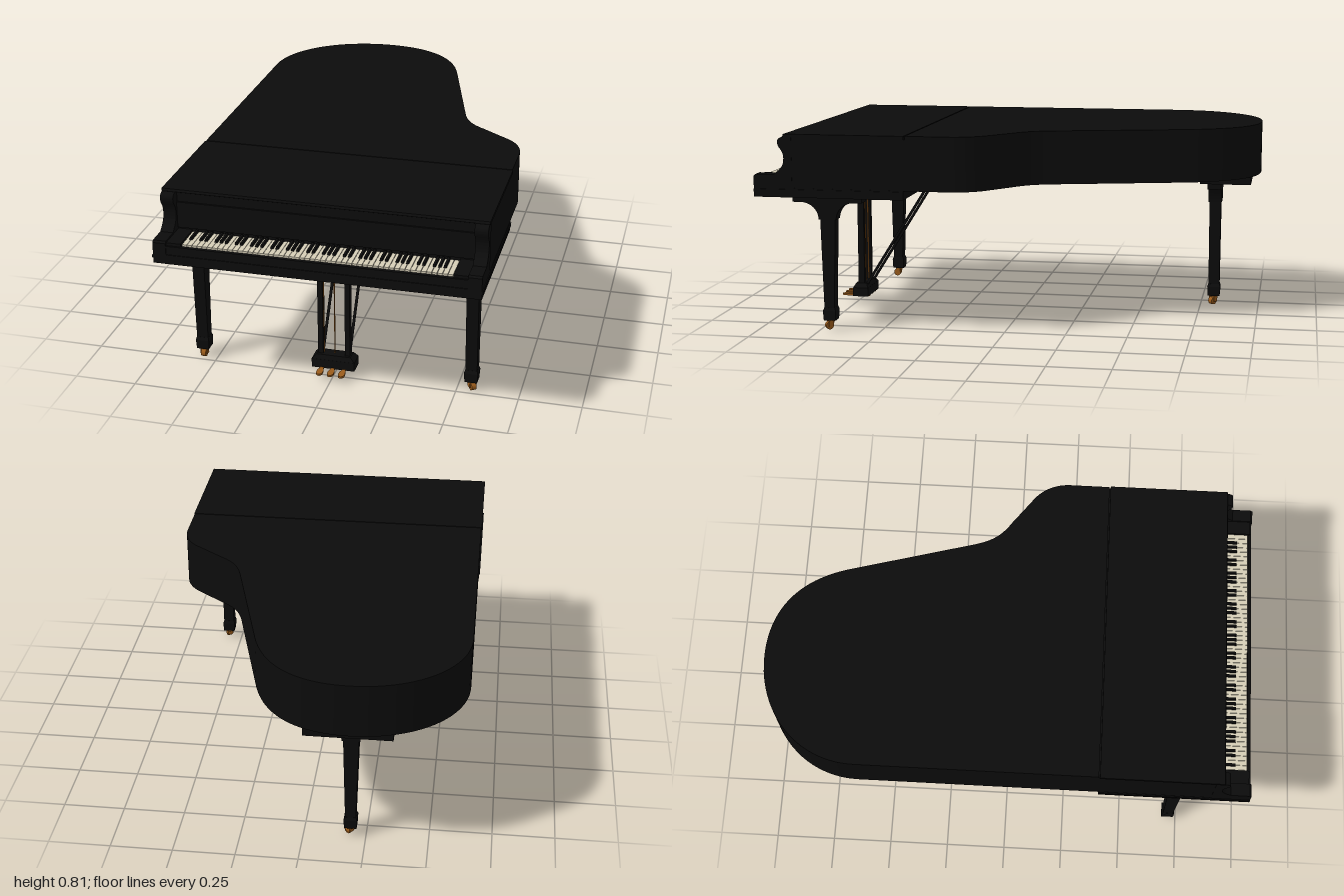
import * as THREE from 'three';
import { mergeGeometries } from 'three/addons/utils/BufferGeometryUtils.js';

const paint = (color) => new THREE.MeshStandardMaterial({ color });
const black = paint(0x0c0c0c), ivory = paint(0xd6cfb8), brass = paint(0x9c5d1c);

function add(parent, name, geometry, material = black) {
  const mesh = new THREE.Mesh(geometry, material);
  mesh.name = name;
  parent.add(mesh);
  return mesh;
}

// Box given by its limits on each axis
function block(x0, x1, y0, y1, z0, z1) {
  return new THREE.BoxGeometry(x1 - x0, y1 - y0, z1 - z0)
    .translate((x0 + x1) / 2, (y0 + y1) / 2, (z0 + z1) / 2);
}

// Four-sided tapered prism centred on the y axis
function taper(y0, w0, d0, y1, w1, d1) {
  const g = new THREE.BoxGeometry(1, y1 - y0, 1).translate(0, (y0 + y1) / 2, 0);
  const p = g.attributes.position;
  for (let i = 0; i < p.count; i++) {
    const top = p.getY(i) > (y0 + y1) / 2;
    p.setX(i, p.getX(i) * 2 * (top ? w1 : w0));
    p.setZ(i, p.getZ(i) * 2 * (top ? d1 : d0));
  }
  g.computeVertexNormals();
  return g;
}

function rod(a, b, r, sides = 10) {
  const from = new THREE.Vector3(...a), to = new THREE.Vector3(...b);
  return new THREE.TubeGeometry(new THREE.LineCurve3(from, to), 1, r, sides);
}

// Plan outline of the case, drawn with shape y = -z, closed by a straight front edge
function plan(front) {
  const s = new THREE.Shape();
  s.moveTo(0.635, -front);
  s.lineTo(0.635, -0.21);
  s.bezierCurveTo(0.635, -0.15, 0.61, -0.09, 0.55, -0.05);
  s.lineTo(0.45, 0.026);
  s.bezierCurveTo(0.4, 0.06, 0.365, 0.09, 0.34, 0.18);
  s.lineTo(0.2, 0.69);
  s.bezierCurveTo(0.14, 0.9, 0, 1, -0.196, 1);
  s.bezierCurveTo(-0.44, 1, -0.635, 0.83, -0.635, 0.6);
  s.lineTo(-0.635, -front);
  return s;
}

function slab(shape, y0, y1) {
  return new THREE.ExtrudeGeometry(shape, { depth: y1 - y0, bevelEnabled: false, curveSegments: 20 })
    .rotateX(-Math.PI / 2).translate(0, y0, 0);
}

// Scrolled arm at each end of the keyboard, profile in (z, y)
function cheek() {
  const s = new THREE.Shape();
  s.moveTo(0.84, 0.59);
  s.lineTo(1, 0.59);
  s.lineTo(1, 0.638);
  s.lineTo(0.992, 0.645);
  s.lineTo(0.915, 0.645);
  s.bezierCurveTo(0.9, 0.66, 0.873, 0.67, 0.873, 0.71);
  s.bezierCurveTo(0.873, 0.75, 0.899, 0.75, 0.898, 0.778);
  s.bezierCurveTo(0.897, 0.79, 0.885, 0.797, 0.875, 0.797);
  s.lineTo(0.84, 0.797);
  return new THREE.ExtrudeGeometry(s, { depth: 0.052, bevelEnabled: false, curveSegments: 8 })
    .rotateY(-Math.PI / 2).translate(0.026, 0, 0);
}

// Leg with a wide bracket along its local x axis, and a caster below
function leg(name, x, z, turn, casterTurn) {
  const g = new THREE.Group();
  g.name = name;
  const s = new THREE.Shape();
  s.moveTo(-0.144, 0.557);
  s.lineTo(-0.144, 0.528);
  s.lineTo(-0.108, 0.528);
  s.bezierCurveTo(-0.07, 0.527, -0.038, 0.5, -0.036, 0.458);
  s.lineTo(0.036, 0.458);
  s.bezierCurveTo(0.038, 0.5, 0.07, 0.527, 0.108, 0.528);
  s.lineTo(0.144, 0.528);
  s.lineTo(0.144, 0.557);
  add(g, 'legBracket', new THREE.ExtrudeGeometry(s, { depth: 0.057, bevelEnabled: false, curveSegments: 8 })
    .translate(0, 0, -0.0285));
  add(g, 'legShaft', taper(0.08, 0.021, 0.0235, 0.46, 0.031, 0.0245));
  add(g, 'legFootCollar', taper(0.08, 0.027, 0.028, 0.093, 0.022, 0.024));
  add(g, 'legFoot', taper(0.04, 0.025, 0.025, 0.08, 0.027, 0.028));

  const c = new THREE.Group();
  c.name = 'caster';
  add(c, 'casterSocket', new THREE.CylinderGeometry(0.015, 0.012, 0.014, 16).translate(0, 0.034, 0), brass);
  add(c, 'casterWheel', new THREE.CylinderGeometry(0.016, 0.016, 0.02, 20)
    .rotateZ(Math.PI / 2).translate(0, 0.016, 0.009), brass);
  for (const side of [-1, 1])
    add(c, 'casterFork', block(-0.002, 0.002, 0.012, 0.036, -0.006, 0.014).translate(side * 0.013, 0, 0), brass);
  c.rotation.y = casterTurn - turn;
  g.add(c);
  g.position.set(x, 0, z);
  g.rotation.y = turn;
  return g;
}

function keyboard() {
  const g = new THREE.Group();
  g.name = 'keyboard';
  const whites = [], sharps = [], n = 52, pitch = 1.05 / n;
  for (let i = 0; i < n; i++) {
    const x = -0.525 + (i + 0.5) * pitch;
    whites.push(block(x - pitch * 0.46, x + pitch * 0.46, 0.612, 0.633, 0.86, 0.981));
    if (i < n - 1 && [0, 2, 3, 5, 6].includes(i % 7))
      sharps.push(taper(0.63, 0.0058, 0.0375, 0.643, 0.0045, 0.035).translate(x + pitch / 2, 0, 0.898));
  }
  add(g, 'whiteKeys', mergeGeometries(whites), ivory);
  add(g, 'blackKeys', mergeGeometries(sharps));
  return g;
}

function pedalLyre() {
  const g = new THREE.Group();
  g.name = 'pedalLyre';
  add(g, 'pedalBox', block(-0.088, 0.088, 0.034, 0.072, 0.688, 0.755));
  add(g, 'pedalBoxMoulding', taper(0.072, 0.088, 0.033, 0.09, 0.07, 0.024).translate(0, 0, 0.7215));
  for (const side of [-1, 1]) {
    add(g, 'lyrePost', block(-0.0105, 0.0105, 0.085, 0.557, 0.708, 0.735).translate(side * 0.0555, 0, 0));
    add(g, 'lyreBrace', rod([side * 0.055, 0.075, 0.705], [side * 0.055, 0.565, 0.398], 0.006));
  }
  for (const x of [-0.045, 0, 0.045]) {
    add(g, 'pedalRod', rod([x, 0.085, 0.72], [x, 0.557, 0.72], 0.0025, 8), brass);
    // Pedal with a rounded, widened toe
    const s = new THREE.Shape();
    s.moveTo(-0.007, -0.69);
    s.lineTo(-0.007, -0.76);
    s.bezierCurveTo(-0.018, -0.79, -0.014, -0.813, 0, -0.813);
    s.bezierCurveTo(0.014, -0.813, 0.018, -0.79, 0.007, -0.76);
    s.lineTo(0.007, -0.69);
    add(g, 'pedal', slab(s, 0.03, 0.038).translate(x, 0, 0), brass);
  }
  return g;
}

export function createModel() {
  const model = new THREE.Group();
  model.name = 'grandPiano';

  // Case and two-part lid with a narrow seam
  add(model, 'case', slab(plan(0.855), 0.59, 0.795));
  add(model, 'rearLid', slab(plan(0.374), 0.795, 0.809));
  const flap = new THREE.Shape();
  flap.moveTo(0.868, 0.795);
  flap.lineTo(0.875, 0.799);
  flap.lineTo(0.872, 0.809);
  flap.lineTo(0.379, 0.809);
  flap.lineTo(0.379, 0.795);
  add(model, 'frontLid', new THREE.ExtrudeGeometry(flap, { depth: 1.276, bevelEnabled: false })
    .rotateY(-Math.PI / 2).translate(0.638, 0, 0));

  // Keyboard surround
  add(model, 'keybed', block(-0.636, 0.636, 0.553, 0.591, 0.382, 1));
  add(model, 'keybedMoulding', block(-0.64, 0.64, 0.574, 0.586, 0.385, 1));
  add(model, 'keySlip', block(-0.585, 0.585, 0.591, 0.626, 0.983, 0.997));
  add(model, 'fallboard', block(-0.585, 0.585, 0.645, 0.752, 0.85, 0.862));
  for (const side of [-1, 1]) {
    add(model, 'cheek', cheek().translate(side * 0.61, 0, 0));
    add(model, 'keyBlock', block(-0.029, 0.029, 0.591, 0.638, 0.85, 0.99).translate(side * 0.556, 0, 0));
  }
  model.add(keyboard(), pedalLyre());

  // Legs, with a mounting block above the rear one
  model.add(leg('rightFrontLeg', -0.557, 0.711, Math.PI / 2, 0));
  model.add(leg('leftFrontLeg', 0.557, 0.711, Math.PI / 2, 0.6));
  model.add(leg('rearLeg', -0.188, -0.807, 0, 0.9));
  add(model, 'rearLegMount', block(-0.36, -0.016, 0.555, 0.592, -0.962, -0.749));
  return model;
}
